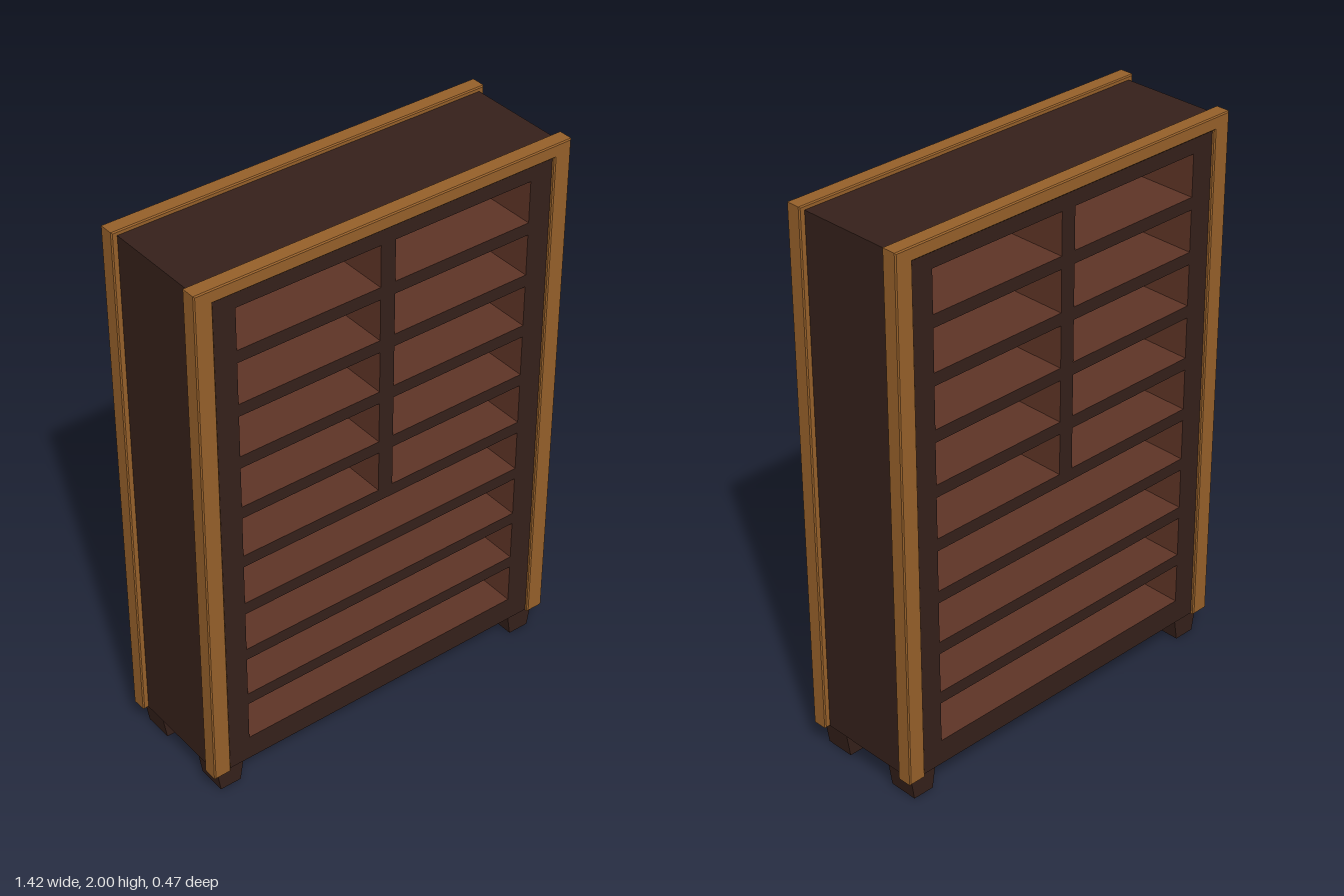
import * as THREE from 'three';

const mat = (color) => new THREE.MeshStandardMaterial({ color });

// Shape or hole from a list of [x, y] corners
const outline = (pts, Type = THREE.Shape) => new Type(pts.map(([x, y]) => new THREE.Vector2(x, y)));
const rect = (x0, x1, y0, y1, Type) => outline([[x0, y0], [x1, y0], [x1, y1], [x0, y1]], Type);

export function createModel() {
  const group = new THREE.Group();
  const darkWood = mat(0x35201a);
  const innerWood = mat(0x5e3426);
  const trimWood = mat(0x96602a);

  const add = (name, geometry, material, x = 0, y = 0, z = 0) => {
    const mesh = new THREE.Mesh(geometry, material);
    mesh.name = name;
    mesh.position.set(x, y, z);
    group.add(mesh);
    return mesh;
  };

  // Carcass: one block pierced front to back by every compartment
  const body = rect(-0.69, 0.69, 0.092, 1.985);
  const inner = 0.56, divider = 0.028, pitch = 0.195, gap = 0.15;
  for (let i = 0; i < 9; i++) {
    const y0 = 0.185 + i * pitch, y1 = y0 + gap;
    const spans = i < 4 ? [[-inner, inner]] : [[-inner, -divider], [divider, inner]];
    for (const [x0, x1] of spans) body.holes.push(rect(x0, x1, y0, y1, THREE.Path));
  }
  const depth = 0.45;
  const carcass = new THREE.ExtrudeGeometry(body, { depth, bevelEnabled: false });
  // Outer walls (first four quads) stay dark, compartment walls are lighter
  const [caps, walls] = carcass.groups.map((g) => ({ ...g }));
  carcass.clearGroups();
  carcass.addGroup(caps.start, caps.count, 0);
  carcass.addGroup(walls.start, 24, 0);
  carcass.addGroup(walls.start + 24, walls.count - 24, 1);
  add('carcassWithShelves', carcass, [darkWood, innerWood], 0, 0, -depth / 2);

  // Trim frames: upside-down U on the front and back
  const frame = outline([
    [-0.71, 0.09], [-0.645, 0.09], [-0.645, 1.953], [0.645, 1.953],
    [0.645, 0.09], [0.71, 0.09], [0.71, 2], [-0.71, 2],
  ]);
  const bevel = 0.004;
  const frameGeometry = new THREE.ExtrudeGeometry(frame, {
    depth: 0.057 - 2 * bevel, bevelThickness: bevel, bevelSize: bevel, bevelOffset: -bevel, bevelSegments: 1,
  });
  add('frontTrim', frameGeometry, trimWood, 0, 0, 0.18 + bevel);
  add('backTrim', frameGeometry, trimWood, 0, 0, -0.237 + bevel);

  // Feet: short blocks tapering towards the floor
  const foot = outline([[-0.04, 0], [0.04, 0], [0.055, 0.093], [-0.055, 0.093]]);
  const footGeometry = new THREE.ExtrudeGeometry(foot, { depth: 0.107, bevelEnabled: false });
  footGeometry.translate(0, 0, -0.0535);
  for (const sx of [-1, 1]) {
    for (const sz of [-1, 1]) {
      add(`${sz > 0 ? 'front' : 'back'}${sx > 0 ? 'Left' : 'Right'}Foot`, footGeometry, darkWood, sx * 0.63, 0, sz * 0.157);
    }
  }
  return group;
}
